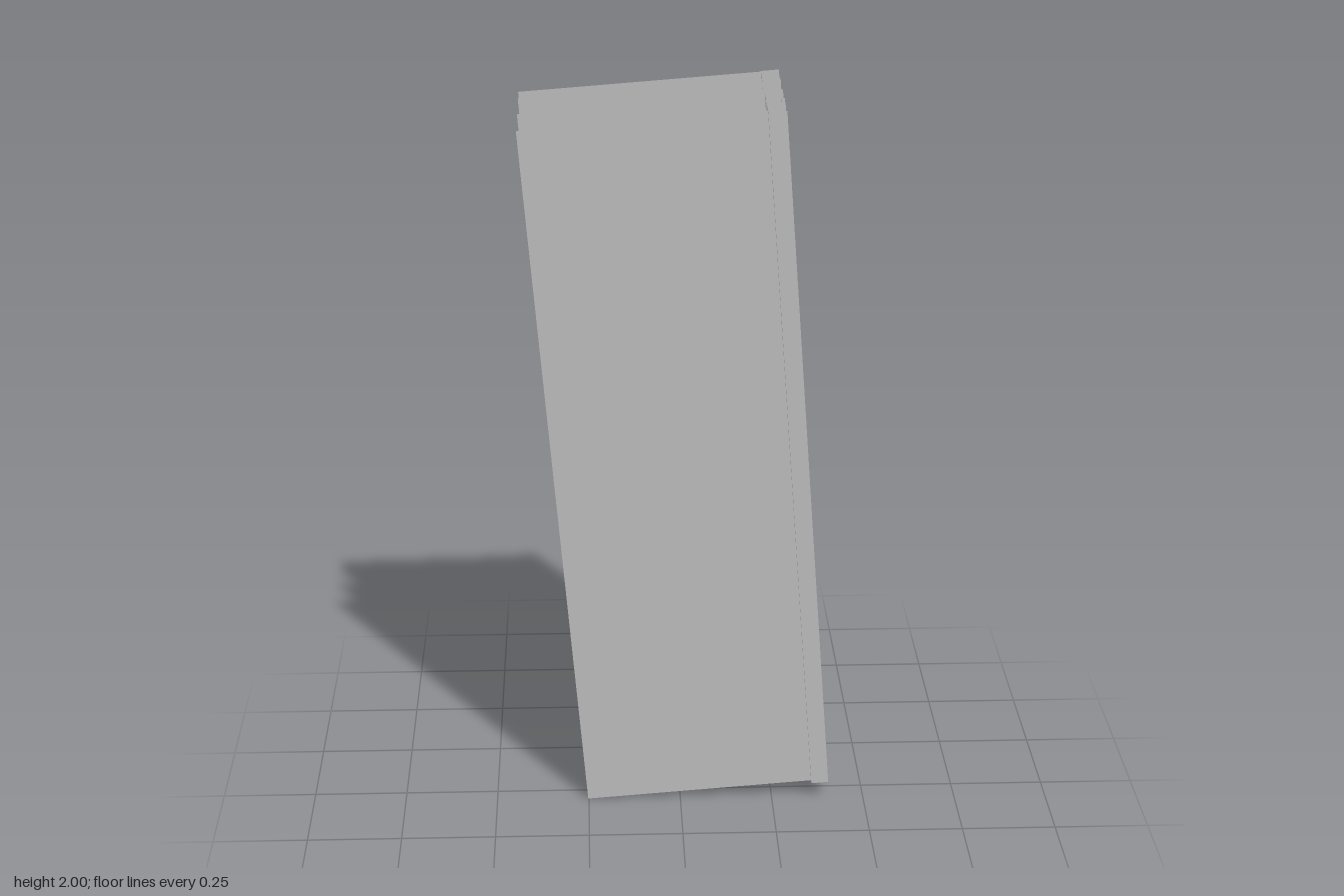
import * as THREE from 'three';

const HEIGHT = 1.938;
const HALF_WIDTH = 0.329;
const POST_INNER = 0.283; // side of the posts that meets the panels

export function createModel() {
  const grey = new THREE.MeshStandardMaterial({ color: 0xc0c0c0, side: THREE.DoubleSide });
  grey.name = 'grey';

  const frame = new THREE.Group();
  frame.name = 'wallSection';

  // Thin sheet facing z, or facing x when turned
  function sheet(name, parent, width, x, z, turned = false) {
    const geometry = new THREE.PlaneGeometry(width, HEIGHT);
    if (turned) geometry.rotateY(Math.PI / 2);
    const mesh = new THREE.Mesh(geometry, grey);
    mesh.name = name;
    mesh.position.set(x, 0, z);
    parent.add(mesh);
  }

  // Four broad panels
  const panelWidth = HALF_WIDTH + POST_INNER;
  for (const z of [-0.153, -0.101, 0.012, 0.136]) {
    sheet('panel', frame, panelWidth, (POST_INNER - HALF_WIDTH) / 2, z);
  }

  // Three hollow posts, open at both ends
  const postWidth = HALF_WIDTH - POST_INNER;
  for (const [back, front] of [[-0.158, -0.094], [-0.006, 0.059], [0.086, 0.151]]) {
    const post = new THREE.Group();
    post.name = 'post';
    for (const z of [back, front]) sheet('postFace', post, postWidth, POST_INNER + postWidth / 2, z);
    for (const x of [POST_INNER, HALF_WIDTH]) sheet('postSide', post, front - back, x, (back + front) / 2, true);
    frame.add(post);
  }

  // Recessed strip joining the two front posts
  sheet('jointStrip', frame, 0.027, 0.321, 0.0725, true);

  // Lean the whole assembly
  const up = new THREE.Vector3(-0.152, 1.925, 0.167).normalize();
  const across = new THREE.Vector3(0.997, 0.08, 0.008);
  const out = across.clone().cross(up).normalize();
  across.crossVectors(up, out);
  frame.quaternion.setFromRotationMatrix(new THREE.Matrix4().makeBasis(across, up, out));
  frame.position.set(0, 1, 0);

  const model = new THREE.Group();
  model.name = 'leaningWallSection';
  model.add(frame);
  return model;
}
